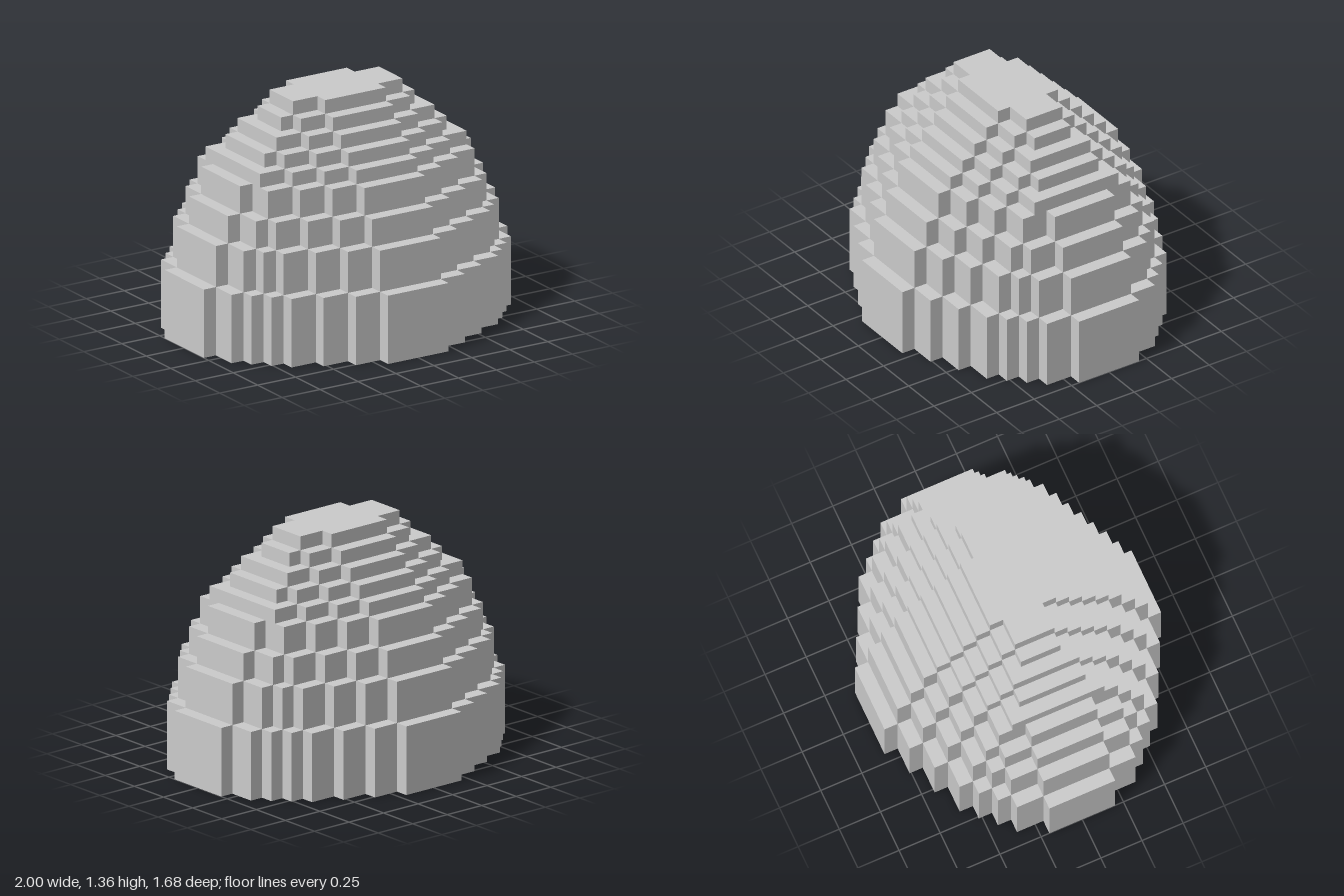
import * as THREE from 'three';

const CELL = 0.08;

// Each tier: height in cells, then the half-width in cells (beyond the middle cell)
// of every row, counted from the middle row outward.
const TIERS = [
  [5, [12, 12, 12, 11, 11, 10, 9, 8, 6, 4, 2]],
  [3, [11, 11, 11, 10, 10, 9, 8, 6, 4, 2]],
  [2, [10, 10, 10, 9, 9, 8, 6, 4, 2]],
  [2, [9, 9, 9, 8, 8, 6, 4, 2]],
  [1, [8, 8, 8, 8, 6, 4, 2]],
  [1, [7, 7, 7, 6, 4, 2]],
  [1, [6, 6, 6, 4, 2]],
  [1, [5, 5, 4, 2]],
  [1, [4, 4, 2]],
];

// Stepped outline of one tier, mirrored from a single quarter
function tierShape(rows) {
  const quarter = [];
  rows.forEach((w, k) => {
    if (w === rows[k + 1]) return;
    const x = (w + 0.5) * CELL;
    const y = (k + 0.5) * CELL;
    quarter.push([x, y]);
    if (k + 1 < rows.length) quarter.push([(rows[k + 1] + 0.5) * CELL, y]);
  });
  const back = [...quarter].reverse();
  const points = [
    ...quarter,
    ...back.map(([x, y]) => [-x, y]),
    ...quarter.map(([x, y]) => [-x, -y]),
    ...back.map(([x, y]) => [x, -y]),
  ];
  return new THREE.Shape(points.map(([x, y]) => new THREE.Vector2(x, y)));
}

export function createModel() {
  const group = new THREE.Group();
  group.name = 'steppedDome';
  const material = new THREE.MeshStandardMaterial({ color: 0xcccccc, flatShading: true });

  // Stack the tiers from the ground up
  let y = 0;
  TIERS.forEach(([cells, rows], i) => {
    const height = cells * CELL;
    const geometry = new THREE.ExtrudeGeometry(tierShape(rows), { depth: height, bevelEnabled: false });
    geometry.rotateX(-Math.PI / 2);
    const tier = new THREE.Mesh(geometry, material);
    tier.name = `tier${i + 1}`;
    tier.position.y = y;
    group.add(tier);
    y += height;
  });
  return group;
}
